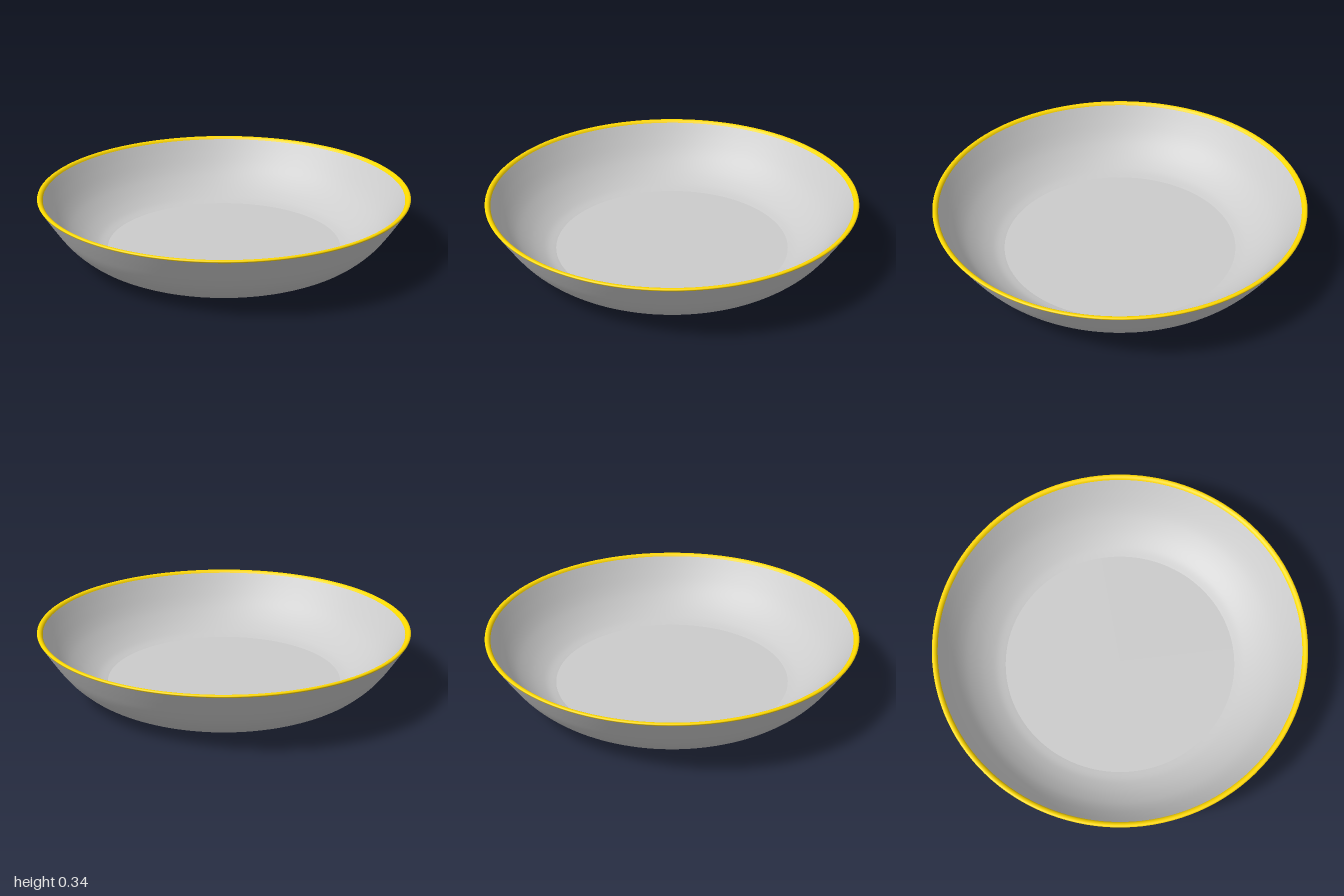
import * as THREE from 'three';

const SEGMENTS = 128;

// Smooth curve through a few [radius, height] points
function smoothProfile(points, divisions) {
  return new THREE.SplineCurve(points.map(([r, y]) => new THREE.Vector2(r, y))).getPoints(divisions);
}

export function createModel() {
  const group = new THREE.Group();
  group.name = 'bowl';
  const grey = new THREE.MeshStandardMaterial({ color: 0xcccccc });
  const yellow = new THREE.MeshStandardMaterial({ color: 0xffd900 });

  function add(name, geometry, material) {
    const mesh = new THREE.Mesh(geometry, material);
    mesh.name = name;
    group.add(mesh);
    return mesh;
  }
  const lathe = (points) => new THREE.LatheGeometry(points, SEGMENTS);

  // Curved outer wall, from the base edge up to the rim
  add('outerWall', lathe(smoothProfile([
    [0.63, 0], [0.7, 0.02], [0.78, 0.064], [0.85, 0.124], [0.9, 0.184], [0.95, 0.258], [0.997, 0.332],
  ], 32)), grey);

  // Curved inner wall, from the rim down to the floor
  add('innerWall', lathe(smoothProfile([
    [0.97, 0.33], [0.925, 0.262], [0.875, 0.195], [0.825, 0.142], [0.76, 0.09], [0.69, 0.05], [0.635, 0.033],
  ], 32)), grey);

  // Flat floor inside and flat base underneath
  const floor = add('floor', new THREE.CircleGeometry(0.635, SEGMENTS), grey);
  floor.rotation.x = -Math.PI / 2;
  floor.position.y = 0.033;
  const base = add('base', new THREE.CircleGeometry(0.63, SEGMENTS), grey);
  base.rotation.x = Math.PI / 2;

  // Rounded coloured rim joining the two walls
  add('rim', lathe(smoothProfile([
    [0.997, 0.332], [1, 0.338], [0.995, 0.343], [0.985, 0.343], [0.976, 0.338], [0.97, 0.33],
  ], 16)), yellow);

  return group;
}
